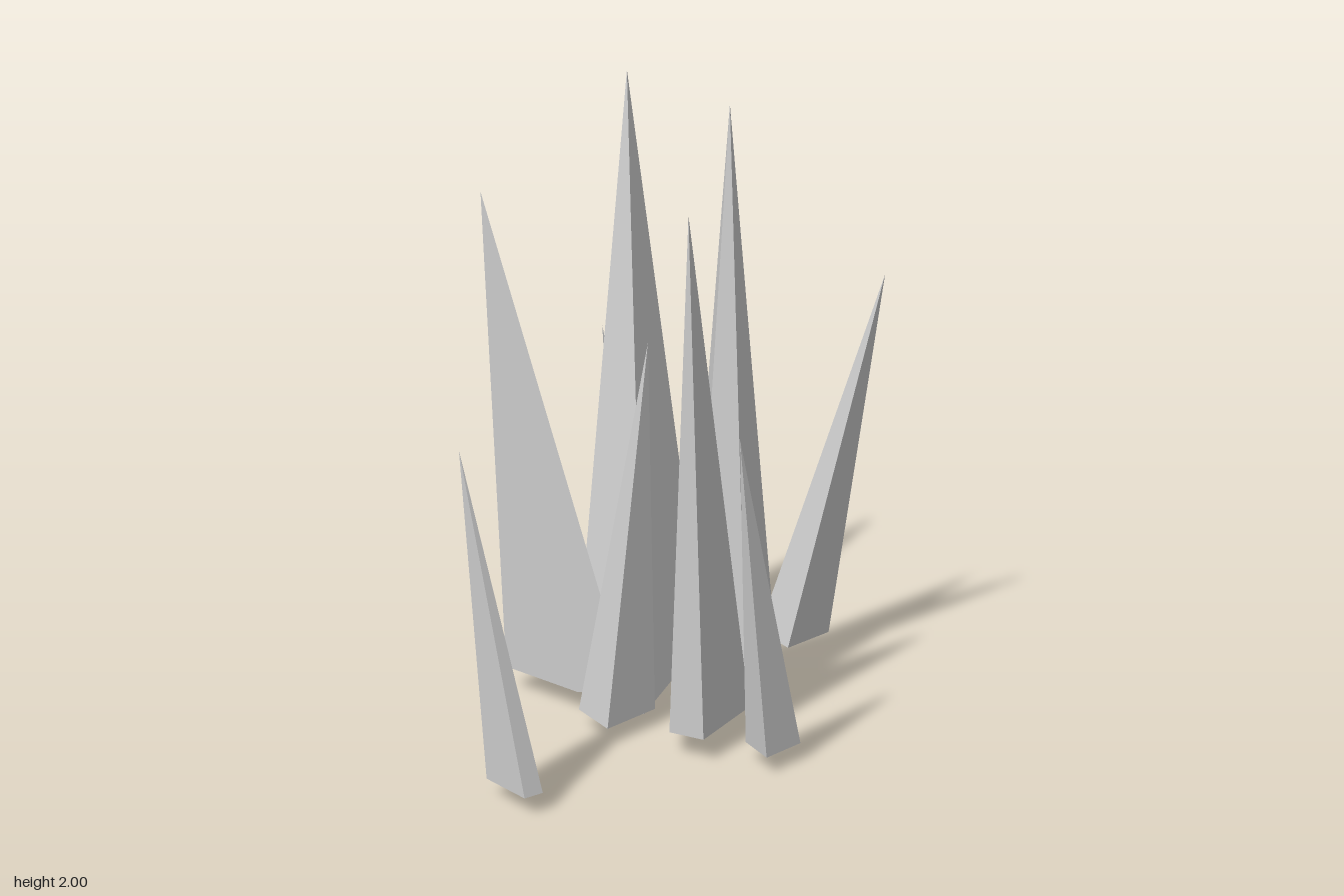
import * as THREE from 'three';

const material = new THREE.MeshStandardMaterial({ color: 0xcccccc, flatShading: true });

// A sharp four-sided spike: apex [x, y, z] over an irregular base of [x, z, y?] corners.
function spike(name, apex, baseY, corners) {
  const base = corners.map(([x, z, y = baseY]) => [x, y, z]);
  // Keep the corners counter-clockwise as seen from above
  const area = base.reduce((sum, p, i) => {
    const q = base[(i + 1) % base.length];
    return sum + p[0] * q[2] - q[0] * p[2];
  }, 0);
  if (area > 0) base.reverse();

  const positions = [];
  base.forEach((p, i) => {
    const q = base[(i + 1) % base.length];
    positions.push(...p, ...q, ...apex); // side
    if (i > 0 && i < base.length - 1) positions.push(...base[0], ...q, ...p); // underside
  });
  const geometry = new THREE.BufferGeometry();
  geometry.setAttribute('position', new THREE.Float32BufferAttribute(positions, 3));
  geometry.computeVertexNormals();
  const mesh = new THREE.Mesh(geometry, material);
  mesh.name = name;
  return mesh;
}

export function createModel() {
  const group = new THREE.Group();
  group.name = 'spikeCluster';
  group.add(
    // Tall spikes in the middle
    spike('tallLeaningSpike', [-0.315, 2, -0.7], 0.08,
      [[0.035, -0.36], [-0.05, 0.155, 0.005], [-0.36, -0.155, 0.07], [-0.33, -0.32]]),
    spike('tallUprightSpike', [0.18, 1.96, -0.04], 0.045,
      [[0.02, -0.135], [0.08, 0.005], [0.275, 0.09], [0.32, -0.22]]),
    spike('frontTallSpike', [0.165, 1.69, 0.475], 0.08,
      [[0.05, 0.165], [0.305, 0.2], [0.22, 0.495], [0.105, 0.46]]),
    spike('rightTallSpike', [-0.615, 1.67, 0.015], 0.08,
      [[-0.555, 0.03], [-0.33, 0.03], [-0.105, 0.15, 0.09], [-0.26, 0.2]]),
    spike('centreSpike', [-0.02, 1.25, 0.215], 0.06,
      [[-0.035, 0.175], [0.005, 0.235], [-0.1, 0.43], [-0.23, 0.295]]),
    // Smaller spikes around the edge
    spike('leftBackSpike', [0.605, 1.35, -0.57], 0.08,
      [[0.39, -0.625], [0.2, -0.51], [0.33, -0.36], [0.44, -0.55]]),
    spike('leftFrontSpike', [0.345, 1.06, 0.59], 0.06,
      [[0.475, 0.355], [0.505, 0.405], [0.425, 0.54], [0.34, 0.435]]),
    spike('rightFrontSpike', [-0.415, 1.055, 0.87], 0.06,
      [[-0.275, 0.835], [-0.16, 0.94], [-0.2, 0.99], [-0.35, 0.88]]),
    spike('rightBackSpike', [-0.44, 1.08, -0.815], 0.055,
      [[-0.3, -0.99, 0.045], [-0.24, -0.8], [-0.34, -0.685, 0.06], [-0.4, -0.865]]),
  );
  return group;
}
